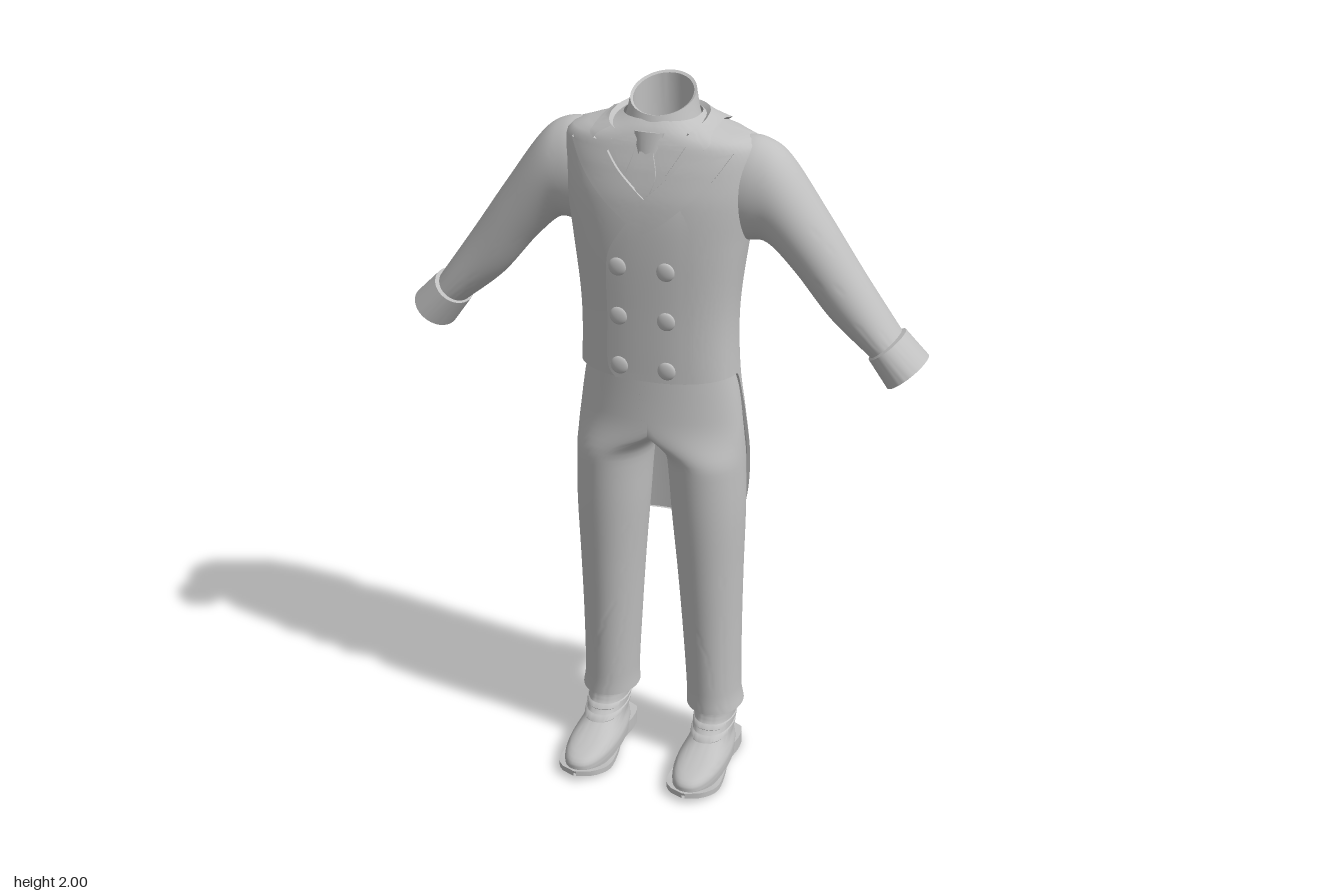
import * as THREE from 'three';
import { mergeVertices, toCreasedNormals } from 'three/addons/utils/BufferGeometryUtils.js';

const grey = new THREE.MeshStandardMaterial({ color: 0xc0c0c0, side: THREE.DoubleSide });
grey.name = 'plain grey';

const { lerp, clamp, smoothstep } = THREE.MathUtils;

// Smooth interpolation through rows of [key, ...values], keys ascending
function table(rows, k) {
  k = clamp(k, rows[0][0], rows[rows.length - 1][0]);
  let i = 0;
  while (i < rows.length - 2 && k > rows[i + 1][0]) i++;
  const a = rows[i], b = rows[i + 1], p = rows[Math.max(i - 1, 0)], q = rows[Math.min(i + 2, rows.length - 1)];
  const h = b[0] - a[0], t = (k - a[0]) / h;
  return a.slice(1).map((v, j) => {
    const c = j + 1;
    const m0 = h * (b[c] - p[c]) / (b[0] - p[0]), m1 = h * (q[c] - a[c]) / (q[0] - a[0]);
    return (2 * t ** 3 - 3 * t * t + 1) * v + (t ** 3 - 2 * t * t + t) * m0
      + (3 * t * t - 2 * t ** 3) * b[c] + (t ** 3 - t * t) * m1;
  });
}

// Surface from fn(u, v) => [x, y, z]
function grid(nu, nv, fn, crease = 0.8) {
  const pos = [], idx = [];
  for (let j = 0; j <= nv; j++) for (let i = 0; i <= nu; i++) pos.push(...fn(i / nu, j / nv));
  for (let j = 0; j < nv; j++) for (let i = 0; i < nu; i++) {
    const a = j * (nu + 1) + i, b = a + nu + 1;
    idx.push(a, a + 1, b, b, a + 1, b + 1);
  }
  const g = new THREE.BufferGeometry();
  g.setAttribute('position', new THREE.Float32BufferAttribute(pos, 3));
  g.setIndex(idx);
  return toCreasedNormals(mergeVertices(g, 1e-5), crease);
}

function add(parent, name, geo, x = 0, y = 0, z = 0) {
  const m = new THREE.Mesh(geo, grey);
  m.name = name;
  m.position.set(x, y, z);
  parent.add(m);
  return m;
}

// Coat body: y, half width, front z, back z
const BODY = [
  [0.66, 0.24, 0.06, -0.229], [0.95, 0.242, 0.06, -0.215], [1.1, 0.23, 0.075, -0.2], [1.22, 0.216, 0.084, -0.192],
  [1.4, 0.213, 0.091, -0.192], [1.6, 0.236, 0.098, -0.208], [1.72, 0.255, 0.093, -0.217], [1.8, 0.262, 0.076, -0.212],
  [1.85, 0.258, 0.06, -0.2], [1.872, 0.24, 0.052, -0.192], [1.887, 0.19, 0.045, -0.183], [1.902, 0.135, 0.037, -0.175],
  [1.92, 0.1, 0.02, -0.16],
];
const E = 2.4;
const spow = (v) => Math.sign(v) * Math.abs(v) ** (2 / E);
function body(a, y, grow = 0) {
  const [w, f, b] = table(BODY, y);
  return [(w + grow) * spow(Math.sin(a)), y, (f + b) / 2 + ((f - b) / 2 + grow) * spow(Math.cos(a))];
}
function bodyZ(x, y) {
  const [w, f, b] = table(BODY, y);
  return (f + b) / 2 + (f - b) / 2 * Math.max(0, 1 - Math.abs(x / w) ** E) ** (1 / E);
}

// Raised panel on the chest between two edge curves of [x, y]
function panel(inner, outer, lift, outerLift = lift) {
  const curve = (pts) => new THREE.CatmullRomCurve3(pts.map((p) => new THREE.Vector3(p[0], p[1], 0)), false, 'centripetal');
  const A = curve(inner), B = curve(outer), n = 10;
  return grid(n, 28, (u, v) => {
    const i = Math.round(u * n), s = clamp((i - 1) / (n - 2), 0, 1);
    const p = A.getPoint(v).lerp(B.getPoint(v), s);
    const l = i === 0 || i === n ? -0.004 : lerp(lift, outerLift, s);
    return [p.x, p.y, bodyZ(p.x, p.y) + l];
  }, 0.6);
}
const flip = (pts) => pts.map(([x, y]) => [-x, y]);

// Hem height of the tailcoat by angle from the front, in degrees
const HEM = [[0, 1.222], [88, 1.222], [93, 1.195], [97, 1.12], [103, 0.98], [113, 0.85], [126, 0.75], [139, 0.7], [150, 0.685], [180, 0.68]];
// Outer edge height of the collar, from the nape to the notch
const COLLAR_EDGE = [[0, 1.874], [0.25, 1.882], [0.5, 1.898], [0.75, 1.896], [0.9, 1.884], [1, 1.862]];

function coat() {
  const g = new THREE.Group();
  g.name = 'tailcoat';
  // Body and split tails, with a turned-in hem
  add(g, 'coatBody', grid(144, 60, (u, v) => {
    const deg = Math.abs(180 - u * 360);
    const y = lerp(table(HEM, deg)[0], 1.92, Math.max(0, v * 60 - 1) / 59);
    const gap = 0.042 * clamp((1.14 - y) / 0.45, 0, 1);
    return body(Math.PI + gap + u * (2 * Math.PI - 2 * gap), y, v === 0 ? -0.008 : 0);
  }));
  // Folded collar around the neck
  add(g, 'coatCollar', grid(64, 8, (u, v) => {
    const t = u * 2 - 1, k = Math.abs(t), s = clamp((v * 8 - 1) / 6, 0, 1);
    const y = lerp(lerp(1.918, 1.892, k ** 3), table(COLLAR_EDGE, k)[0], s);
    const l = v === 0 || v === 1 ? 0 : 0.01;
    const p = body(Math.PI + t * 2.62, y, l);
    p[1] += l * (1 - s * 0.5);
    return p;
  }, 0.6));
  // Double-breasted overlap and peaked lapels
  add(g, 'frontOverlap', panel(
    [[0.01, 1.745], [-0.04, 1.67], [-0.09, 1.59], [-0.1, 1.54], [-0.1, 1.4], [-0.1, 1.25], [-0.08, 1.224]],
    [[0.08, 1.745], [0.12, 1.67], [0.13, 1.59], [0.13, 1.54], [0.13, 1.4], [0.13, 1.25], [0.13, 1.224]], 0.007, 0.0));
  add(g, 'rightLapel', panel(
    [[-0.105, 1.842], [-0.07, 1.8], [-0.025, 1.76], [0.005, 1.735]],
    [[-0.217, 1.855], [-0.17, 1.785], [-0.1, 1.715], [-0.035, 1.665]], 0.01));
  add(g, 'leftLapel', panel(
    [[0.105, 1.842], [0.07, 1.8], [0.035, 1.765], [0.005, 1.735], [-0.035, 1.675]],
    [[0.217, 1.855], [0.17, 1.785], [0.1, 1.715], [0.04, 1.665], [-0.035, 1.625]], 0.012));
  // Two columns of domed buttons
  const dome = new THREE.SphereGeometry(0.025, 20, 12);
  for (const y of [1.545, 1.405, 1.262]) for (const x of [-0.067, 0.064]) {
    add(g, 'button', dome, x, y, bodyZ(x, y) + 0.006).scale.z = 0.36;
  }
  return g;
}

function shirt() {
  const g = new THREE.Group();
  g.name = 'shirtAndTie';
  // Slanted neck band: [front z, front y, back z, back y, half width]
  const rings = [[0.045, 1.85, -0.17, 1.89, 0.11], [0.03, 1.9, -0.165, 1.94, 0.094], [0.018, 1.932, -0.158, 2.0, 0.085],
    [0.01, 1.93, -0.15, 1.995, 0.078], [0.015, 1.87, -0.15, 1.88, 0.08]];
  add(g, 'neckBand', grid(48, 4, (u, v) => {
    const [fz, fy, bz, by, w] = rings[Math.round(v * 4)], a = u * 2 * Math.PI, c = (Math.cos(a) + 1) / 2;
    return [w * Math.sin(a), lerp(by, fy, c), lerp(bz, fz, c)];
  }));
  const wingIn = [[0.025, 1.89], [0.035, 1.84], [0.05, 1.795]], wingOut = [[0.1, 1.87], [0.08, 1.835], [0.055, 1.795]];
  add(g, 'leftCollarWing', panel(wingIn, wingOut, 0.006));
  add(g, 'rightCollarWing', panel(flip(wingIn), flip(wingOut), 0.006));
  add(g, 'tie', panel([[-0.018, 1.85], [-0.03, 1.79], [-0.012, 1.735]], [[0.018, 1.85], [0.03, 1.79], [0.012, 1.735]], 0.005));
  const knot = add(g, 'tieKnot', new THREE.CylinderGeometry(0.04, 0.028, 0.06, 16), 0, 1.866, 0.048);
  knot.scale.z = 0.45;
  knot.rotation.x = -0.25;
  return g;
}

// Sleeve rings: station, outer x, outer y, inner x, inner y, half depth
const SLEEVE = [
  [0, 0.2, 1.874, 0.205, 1.6, 0.1], [1, 0.268, 1.872, 0.238, 1.597, 0.1], [2, 0.335, 1.828, 0.29, 1.595, 0.096],
  [3, 0.44, 1.682, 0.365, 1.525, 0.087], [4, 0.54, 1.535, 0.462, 1.41, 0.079], [5, 0.645, 1.385, 0.572, 1.318, 0.073],
];
const CUFF = [
  [0, 0.638, 1.38, 0.577, 1.326, 0.07], [1, 0.656, 1.386, 0.568, 1.313, 0.083], [2, 0.72, 1.322, 0.62, 1.24, 0.088],
  [3, 0.712, 1.316, 0.628, 1.247, 0.08], [4, 0.645, 1.376, 0.577, 1.32, 0.07],
];
function tube(rows, nv, smooth) {
  const last = rows.length - 1;
  return grid(48, nv, (u, v) => {
    const [ox, oy, ix, iy, d] = smooth ? table(rows, v * last) : rows[Math.round(v * last)].slice(1);
    const a = u * 2 * Math.PI, c = (Math.cos(a) + 1) / 2;
    return [lerp(ix, ox, c), lerp(iy, oy, c), -0.08 + d * Math.sin(a)];
  });
}

// Trouser leg: y, inner x, outer x, front z, back z
const LEG = [
  [0.165, 0.078, 0.24, 0.017, -0.176], [0.21, 0.079, 0.233, 0.016, -0.17], [0.4, 0.068, 0.232, 0.026, -0.17],
  [0.6, 0.054, 0.235, 0.042, -0.172], [0.8, 0.037, 0.24, 0.058, -0.175], [0.95, 0.025, 0.238, 0.064, -0.178],
  [1.01, 0.012, 0.235, 0.064, -0.178], [1.05, -0.02, 0.232, 0.063, -0.178], [1.15, -0.03, 0.22, 0.056, -0.175],
  [1.27, -0.03, 0.2, 0.05, -0.165],
];
function trouserLeg() {
  return grid(56, 56, (u, v) => {
    const y = lerp(0.165, 1.27, v), a = u * 2 * Math.PI, s = Math.sin(a), c = Math.cos(a);
    const [i, o, f, b] = table(LEG, y);
    const x = lerp((i + o) / 2 + s * (o - i) / 2, Math.max(-0.03, o * s), smoothstep(y, 0.96, 1.09));
    return [x, y, (f + b) / 2 + c * (f - b) / 2];
  });
}

// Shoe upper: y, half width, front z, back z
const SHOE = [
  [0.015, 0.071, 0.212, -0.148], [0.045, 0.071, 0.214, -0.15], [0.062, 0.064, 0.19, -0.15], [0.073, 0.058, 0.13, -0.149],
  [0.086, 0.056, 0.07, -0.149], [0.108, 0.056, 0.032, -0.15], [0.14, 0.058, 0.006, -0.152], [0.19, 0.06, -0.002, -0.155],
];
function shoeRing(a, y, grow = 0) {
  const [w, f, b] = table(SHOE, y);
  return [(w + grow) * spow(Math.sin(a)), y, (f + b) / 2 + ((f - b) / 2 + grow) * Math.cos(a)];
}
function shoe() {
  const g = new THREE.Group();
  g.name = 'shoe';
  add(g, 'upper', grid(48, 28, (u, v) => shoeRing(u * 2 * Math.PI, lerp(0.015, 0.19, v))));
  // Ankle bands
  for (const y of [0.092, 0.116]) {
    add(g, 'ankleBand', grid(48, 3, (u, v) => shoeRing(u * 2 * Math.PI, y + [0, 0.002, 0.012, 0.014][Math.round(v * 3)], v > 0.1 && v < 0.9 ? 0.003 : 0)));
  }
  // Sole outline: z, half width; it rises at the toe and arch
  const SOLE = [[-0.155, 0.03], [-0.14, 0.058], [-0.09, 0.068], [-0.02, 0.062], [0.06, 0.072], [0.13, 0.076], [0.18, 0.064], [0.212, 0.038], [0.225, 0.004]];
  const slab = (z0, z1, low, high) => grid(24, 4, (u, v) => {
    const z = lerp(z0, z1, u), w = table(SOLE, z)[0], k = Math.round(v * 4);
    return [k === 1 || k === 2 ? w : -w, k === 0 || k === 1 || k === 4 ? low(z) : high(z), z];
  }, 0.6);
  const bottom = (z) => z < 0.08 ? 0.024 * smoothstep(-z, -0.08, 0.04) : 0.016 * smoothstep(z, 0.12, 0.225);
  add(g, 'sole', slab(-0.155, 0.225, bottom, (z) => bottom(z) + 0.016));
  add(g, 'heel', slab(-0.152, -0.035, () => 0, () => 0.036));
  add(g, 'heelFront', new THREE.BoxGeometry(0.124, 0.034, 0.006), 0, 0.017, -0.036);
  return g;
}

export function createModel() {
  const model = new THREE.Group();
  model.name = 'formalSuit';
  model.add(coat(), shirt());
  for (const side of [1, -1]) {
    const half = new THREE.Group();
    half.name = side > 0 ? 'leftLimbs' : 'rightLimbs';
    half.scale.x = side;
    add(half, 'sleeve', tube(SLEEVE, 30, true));
    add(half, 'cuff', tube(CUFF, 4, false));
    add(half, 'trouserLeg', trouserLeg());
    const s = shoe();
    s.position.x = 0.163;
    half.add(s);
    model.add(half);
  }
  return model;
}
